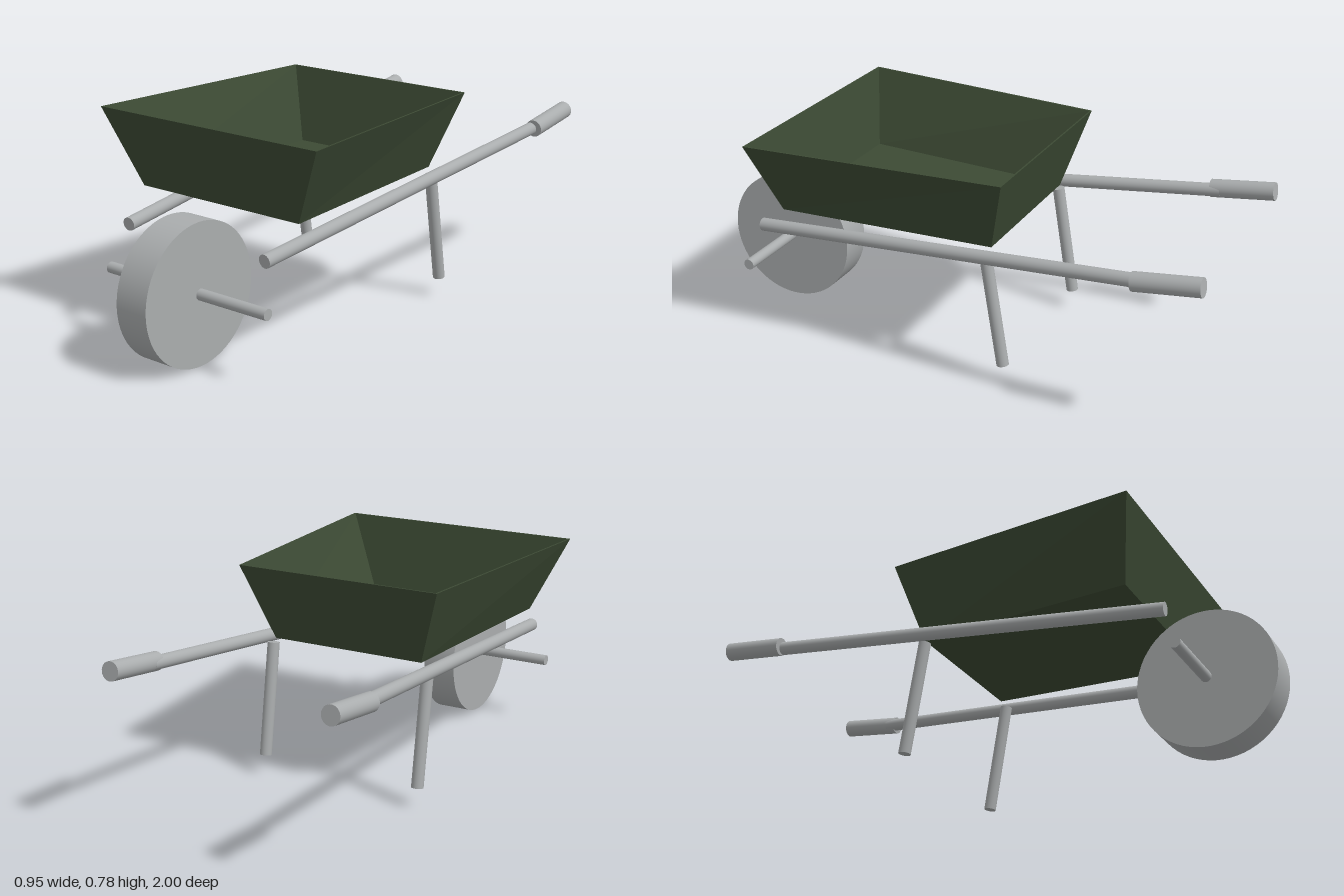
import * as THREE from 'three';

const steel = new THREE.MeshStandardMaterial({ color: 0xaaadae });
steel.name = 'grey steel';
const green = new THREE.MeshStandardMaterial({ color: 0x3c4a34 });
green.name = 'dark green';

// Round bar between two points
function bar(name, from, to, radius, segments = 32) {
  const a = new THREE.Vector3(...from);
  const b = new THREE.Vector3(...to);
  const dir = b.clone().sub(a);
  const mesh = new THREE.Mesh(new THREE.CylinderGeometry(radius, radius, dir.length(), segments), steel);
  mesh.name = name;
  mesh.position.copy(a).add(b).multiplyScalar(0.5);
  mesh.quaternion.setFromUnitVectors(new THREE.Vector3(0, 1, 0), dir.normalize());
  return mesh;
}

// Rectangle with its own front and rear half widths
const ring = (y, frontHalf, frontZ, rearHalf, rearZ) => [
  [-frontHalf, y, frontZ], [frontHalf, y, frontZ], [rearHalf, y, rearZ], [-rearHalf, y, rearZ],
];

// Open tray with thin sloping walls
function makeTub() {
  const rings = [
    ring(0.51, 0.346, 0.585, 0.295, -0.217), // outer bottom
    ring(0.785, 0.473, 0.653, 0.391, -0.295), // outer rim
    ring(0.785, 0.466, 0.647, 0.384, -0.289), // inner rim
    ring(0.515, 0.34, 0.58, 0.289, -0.211), // inner floor
  ];
  const points = [];
  const quad = (a, b, c, d) => points.push(...a, ...b, ...c, ...a, ...c, ...d);
  for (let r = 0; r < 3; r++) {
    for (let i = 0; i < 4; i++) {
      const j = (i + 1) % 4;
      quad(rings[r][i], rings[r][j], rings[r + 1][j], rings[r + 1][i]);
    }
  }
  quad(...rings[3]);
  quad(...rings[0].slice().reverse());
  const geometry = new THREE.BufferGeometry();
  geometry.setAttribute('position', new THREE.Float32BufferAttribute(points, 3));
  geometry.computeVertexNormals();
  const mesh = new THREE.Mesh(geometry, green);
  mesh.name = 'tub';
  return mesh;
}

export function createModel() {
  const model = new THREE.Group();
  model.name = 'wheelbarrow';
  model.add(makeTub());

  // Wheel and axle
  model.add(bar('wheel', [-0.065, 0.252, 0.75], [0.065, 0.252, 0.75], 0.25, 64));
  model.add(bar('axle', [-0.354, 0.254, 0.75], [0.354, 0.254, 0.75], 0.02));

  // Handles, grips and legs on both sides
  for (const [side, s] of [['left', 1], ['right', -1]]) {
    model.add(bar(side + 'Handle', [s * 0.304, 0.408, 0.706], [s * 0.398, 0.562, -0.8], 0.024));
    model.add(bar(side + 'Grip', [s * 0.408, 0.56, -0.764], [s * 0.408, 0.591, -0.997], 0.033));
    model.add(bar(side + 'Leg', [s * 0.314, 0.488, -0.204], [s * 0.314, 0.075, -0.273], 0.022));
  }
  return model;
}
